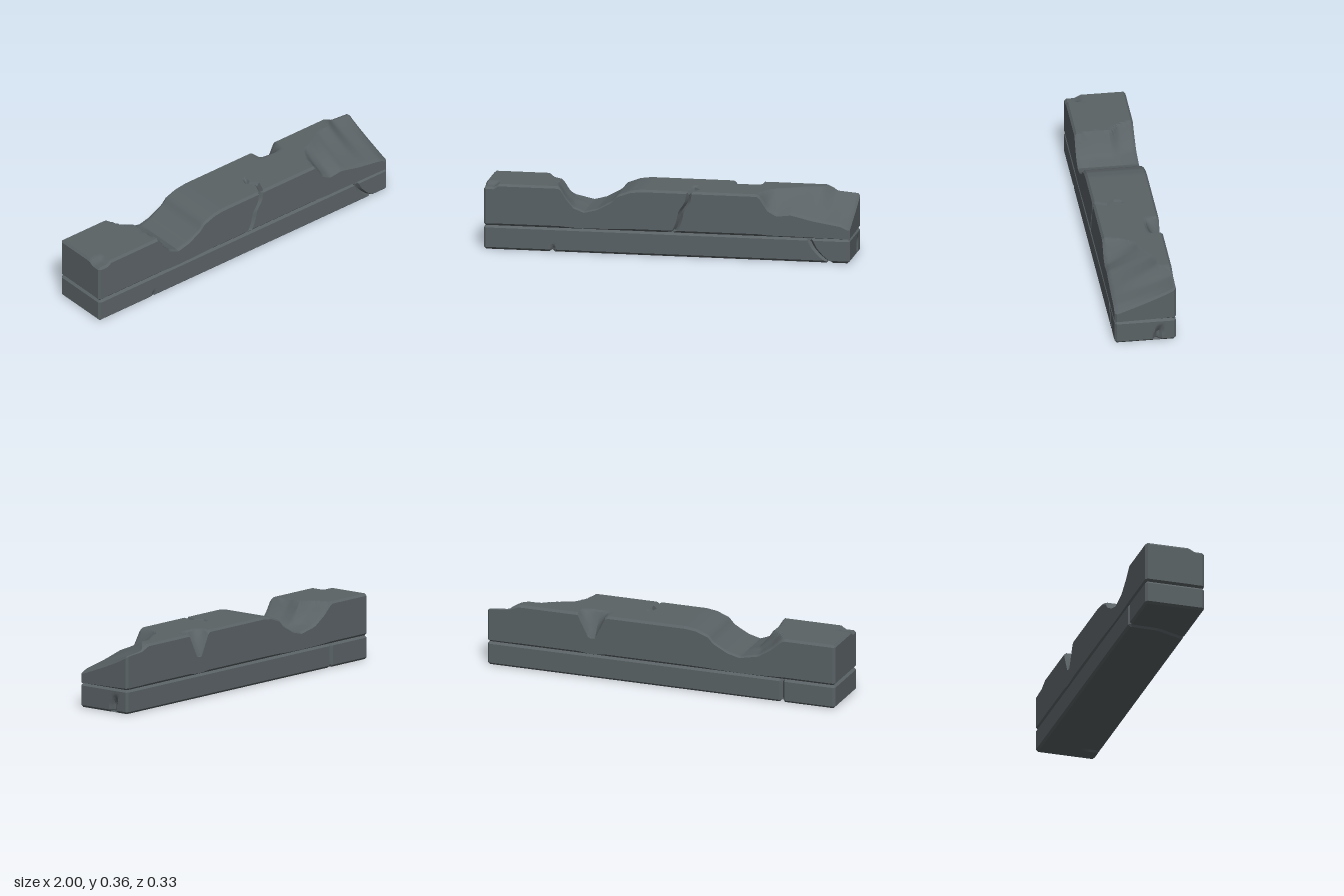
import * as THREE from 'three';
import { toCreasedNormals } from 'three/addons/utils/BufferGeometryUtils.js';

const TOP = 0.36, SEAM = 0.131, HALF = 0.166, BEVEL = 0.012;
const clamp = (v) => Math.min(1, Math.max(0, v));

// Piecewise linear curve through [input, output] points
function curve(points, v) {
  if (v <= points[0][0]) return points[0][1];
  for (let i = 1; i < points.length; i++) {
    const [a, p] = points[i - 1], [b, q] = points[i];
    if (v <= b) return p + ((q - p) * (v - a)) / (b - a);
  }
  return points[points.length - 1][1];
}

// Grid lines from lo to hi: one narrow bevel row at each end, plus extra lines
function gridLines(lo, hi, count, extra = []) {
  const lines = [lo, hi, ...extra];
  for (let i = 0; i <= count; i++) {
    const v = lo + BEVEL + ((hi - lo - 2 * BEVEL) * i) / count;
    if (extra.every((e) => Math.abs(e - v) > 0.006)) lines.push(v);
  }
  return lines.sort((a, b) => a - b);
}

// Broken top: valley on one side, sloping break at the end, notch and corner chip
const VALLEY = [[-0.585, 0.36], [-0.55, 0.3], [-0.51, 0.25], [-0.45, 0.226], [-0.38, 0.245],
  [-0.3, 0.29], [-0.27, 0.325], [-0.2, 0.352], [-0.14, 0.36]];
const VALLEY_EDGE = [[-0.166, -0.7], [-0.08, -0.66], [-0.03, -0.6], [0.05, -0.61], [0.166, -0.585]];
const BREAK_EDGE = [[0.5, 0.164], [0.51, 0.08], [0.56, 0], [0.62, -0.02], [0.72, -0.08],
  [0.8, -0.09], [0.87, -0.166]];
const BREAK_FRONT = [[0.5, 0.36], [0.55, 0.28], [0.6, 0.25], [0.68, 0.26], [0.8, 0.23],
  [0.95, 0.205], [1, 0.18]];
const BREAK_BACK = [[0.82, 0.36], [0.88, 0.335], [1, 0.325]];

function topHeight(x, z) {
  const left = curve(VALLEY_EDGE, z);
  const u = x < -0.45 ? -0.45 + ((x + 0.45) * 0.135) / (-0.45 - left) : x;
  let h = curve(VALLEY, u);
  if (x > 0.5) {
    const edge = curve(BREAK_EDGE, x), back = curve(BREAK_BACK, x);
    const t = clamp((z - edge) / (HALF - edge));
    h = back - (back - curve(BREAK_FRONT, x)) * Math.pow(t, 0.85);
  }
  const notch = clamp(1.3 * (1 - Math.abs(x - 0.4) / 0.08)) * clamp((-0.085 - z) / 0.075);
  const chip = clamp((-0.92 - x) / 0.02) * clamp((z - 0.08) / 0.03);
  return h - 0.13 * notch - 0.018 * chip;
}

// Bevelled block on a grid whose columns bend to follow its cracks
function stoneBlock(y0, y1, cracks, { height = null, endCrack = null } = {}) {
  const extraX = cracks.flatMap((c) => [c.x - 0.015, c.x, c.x + 0.015]);
  const X = gridLines(-1, 1, 140, extraX);
  const Y = gridLines(y0, y1, 10);
  const Z = gridLines(-HALF, HALF, 24);
  const axes = [X, Y, Z];
  const geo = new THREE.BoxGeometry(1, 1, 1, X.length - 1, Y.length - 1, Z.length - 1);
  const pos = geo.attributes.position;
  for (let i = 0; i < pos.count; i++) {
    const raw = [pos.getX(i), pos.getY(i), pos.getZ(i)];
    const p = raw.map((v, k) => axes[k][Math.round((v + 0.5) * (axes[k].length - 1))]);
    const side = raw.map((v) => (Math.abs(v) > 0.4999 ? Math.sign(v) : 0));
    const [gx, gy, gz] = p;
    // edge bevels
    const n = side.filter((s) => s !== 0).length;
    if (n > 1) side.forEach((s, k) => { p[k] -= s * BEVEL * (n === 2 ? 0.5 : 0.667); });
    // cracks
    for (const c of cracks) {
      const off = gx - c.x;
      p[0] += (c.path(gy, gz) - c.x) * clamp(1 - (Math.abs(off) - 0.015) / c.reach);
      const d = c.depth(gy, gz) * clamp(1 - Math.abs(off) / 0.015);
      p[1] -= side[1] * d;
      p[2] -= side[2] * d;
    }
    if (endCrack && side[0] > 0) p[0] -= endCrack(gy, gz);
    if (height) p[1] = y0 + ((p[1] - y0) * (height(p[0], p[2]) - y0)) / (y1 - y0);
    pos.setXYZ(i, ...p);
  }
  return toCreasedNormals(geo, 0.45);
}

// Crack up the front and over the top of the upper course
const UPPER_RISE = [[0.13, 0.02], [0.145, 0.05], [0.2, 0.07], [0.25, 0.08], [0.3, 0.115], [0.36, 0.125]];
const UPPER_ZIGZAG = [[0, 0.01], [0.05, -0.005], [0.09, 0.03], [0.166, 0]];
const upperCracks = [{
  x: 0.08, reach: 0.2,
  path: (y, z) => curve(UPPER_RISE, y) + curve(UPPER_ZIGZAG, z),
  depth: (y, z) => 0.022 * clamp(z / 0.04),
}];

// Cracks in the lower course: one at the front, one up the back and under the base
const LOWER_FALL = [[0, 0.89], [0.04, 0.84], [0.08, 0.805], [0.13, 0.78]];
const lowerCracks = [{
  x: 0.83, reach: 0.13,
  path: (y) => curve(LOWER_FALL, y),
  depth: (y, z) => 0.02 * clamp((z - 0.05) / 0.05),
}, {
  x: -0.66, reach: 0.15,
  path: (y, z) => curve([[-0.166, -0.695], [0, -0.69], [0.166, -0.62]], z),
  depth: (y, z) => 0.02 * (z > 0.15 ? clamp(1.2 - y / 0.035) : 1),
}];

// Short wedge-shaped crack on the end face
const endCrack = (y, z) =>
  0.025 * clamp(1.3 - Math.abs(z + 0.06 + y * 0.22) / 0.018) * clamp((0.1 - y) / 0.05);

export function createModel() {
  const group = new THREE.Group();
  const stone = new THREE.MeshStandardMaterial({ color: 0x5a6265 });
  stone.name = 'dark grey stone';

  const lower = new THREE.Mesh(stoneBlock(0, SEAM, lowerCracks, { endCrack }), stone);
  lower.name = 'lowerCourse';
  const upper = new THREE.Mesh(stoneBlock(SEAM, TOP, upperCracks, { height: topHeight }), stone);
  upper.name = 'brokenUpperCourse';

  group.add(lower, upper);
  group.name = 'brokenStoneWall';
  return group;
}
